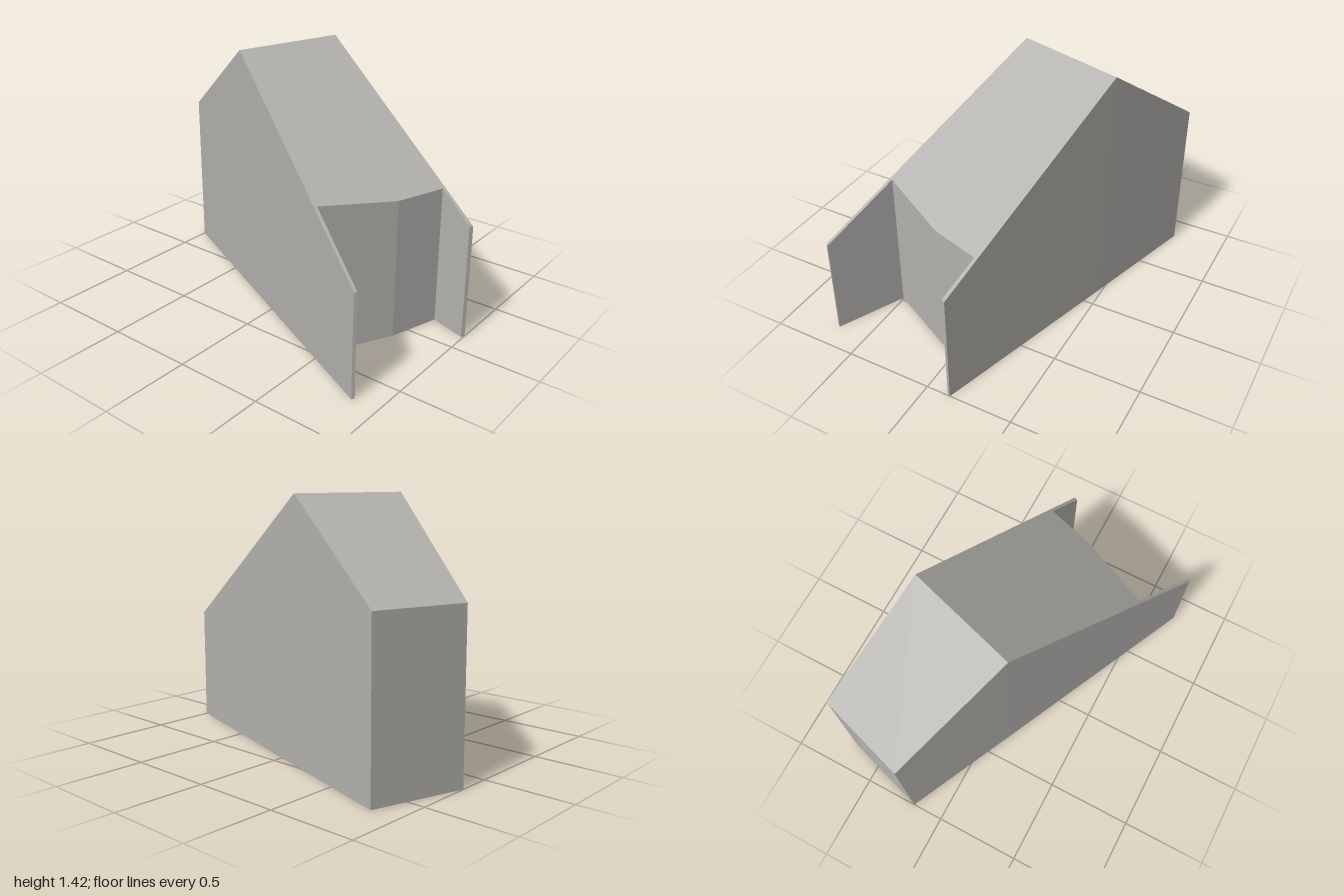
import * as THREE from 'three';

// Plan corners as [x, z]
const backLeft = [0.695, -0.84], backRight = [0.185, -1.0];
const ridgeLeft = [0.49, -0.155], ridgeRight = [-0.13, -0.345];
const finLeft = [[0.185, 0.785], [0.12, 0.99], [0.14, 1.0]]; // inner root, inner tip, outer tip
const finRight = [[-0.7, 0.85], [-0.685, 0.86], [-0.505, 0.485]]; // outer tip, inner tip, inner root
const frontBend = [-0.1, 0.695];
const ridgeY = 1.42;

// Roof height falls away from the ridge line, at a different pitch each side
function roofY([x, z]) {
  const d = -0.293 * (x - 0.49) + 0.956 * (z + 0.155);
  if (Math.abs(d) < 0.01) return ridgeY;
  return ridgeY - (d > 0 ? d * 0.634 : -d * 0.697);
}

const ground = () => 0;

// Flat-shaded mesh from a list of corner triples
function facets(name, corners, material) {
  const geometry = new THREE.BufferGeometry();
  geometry.setAttribute('position', new THREE.Float32BufferAttribute(corners.flat(), 3));
  geometry.computeVertexNormals();
  const mesh = new THREE.Mesh(geometry, material);
  mesh.name = name;
  return mesh;
}

// Surface over a plan polygon, facing up or down
function slab(name, plan, height, up, material) {
  const points = plan.map(([x, z]) => new THREE.Vector2(x, z));
  const corners = [];
  for (const [a, b, c] of THREE.ShapeUtils.triangulateShape(points, [])) {
    const cross = points[b].clone().sub(points[a]).cross(points[c].clone().sub(points[a]));
    const order = (cross < 0) === up ? [a, b, c] : [a, c, b];
    for (const i of order) corners.push([plan[i][0], height(plan[i]), plan[i][1]]);
  }
  return facets(name, corners, material);
}

// Vertical wall along a plan line, from the ground to the roof; outside is on the walker's right
function wall(name, line, material) {
  const corners = [];
  for (let i = 0; i < line.length - 1; i++) {
    const [p, q] = [line[i], line[i + 1]];
    const p0 = [p[0], 0, p[1]], q0 = [q[0], 0, q[1]];
    const p1 = [p[0], roofY(p), p[1]], q1 = [q[0], roofY(q), q[1]];
    corners.push(p0, q0, q1, p0, q1, p1);
  }
  return facets(name, corners, material);
}

export function createModel() {
  const model = new THREE.Group();
  model.name = 'house';
  const grey = new THREE.MeshStandardMaterial({ color: 0xb4b2ae, side: THREE.DoubleSide });
  grey.name = 'plainGrey';

  const frontEdge = [...finRight, frontBend, ...finLeft];
  model.add(
    // Roof slopes and floor
    slab('frontRoof', [ridgeRight, ...frontEdge, ridgeLeft], roofY, true, grey),
    slab('backRoof', [ridgeRight, ridgeLeft, backLeft, backRight], roofY, true, grey),
    slab('floor', [backRight, ...frontEdge, backLeft], ground, false, grey),
    // Gable walls and back wall
    wall('leftGable', [finLeft[2], ridgeLeft, backLeft], grey),
    wall('backWall', [backLeft, backRight], grey),
    wall('rightGable', [backRight, ridgeRight, finRight[0]], grey),
    // Recessed front between the two projecting fin walls
    wall('rightFin', finRight, grey),
    wall('frontWall', [finRight[2], frontBend, finLeft[0]], grey),
    wall('leftFin', finLeft, grey)
  );
  return model;
}
